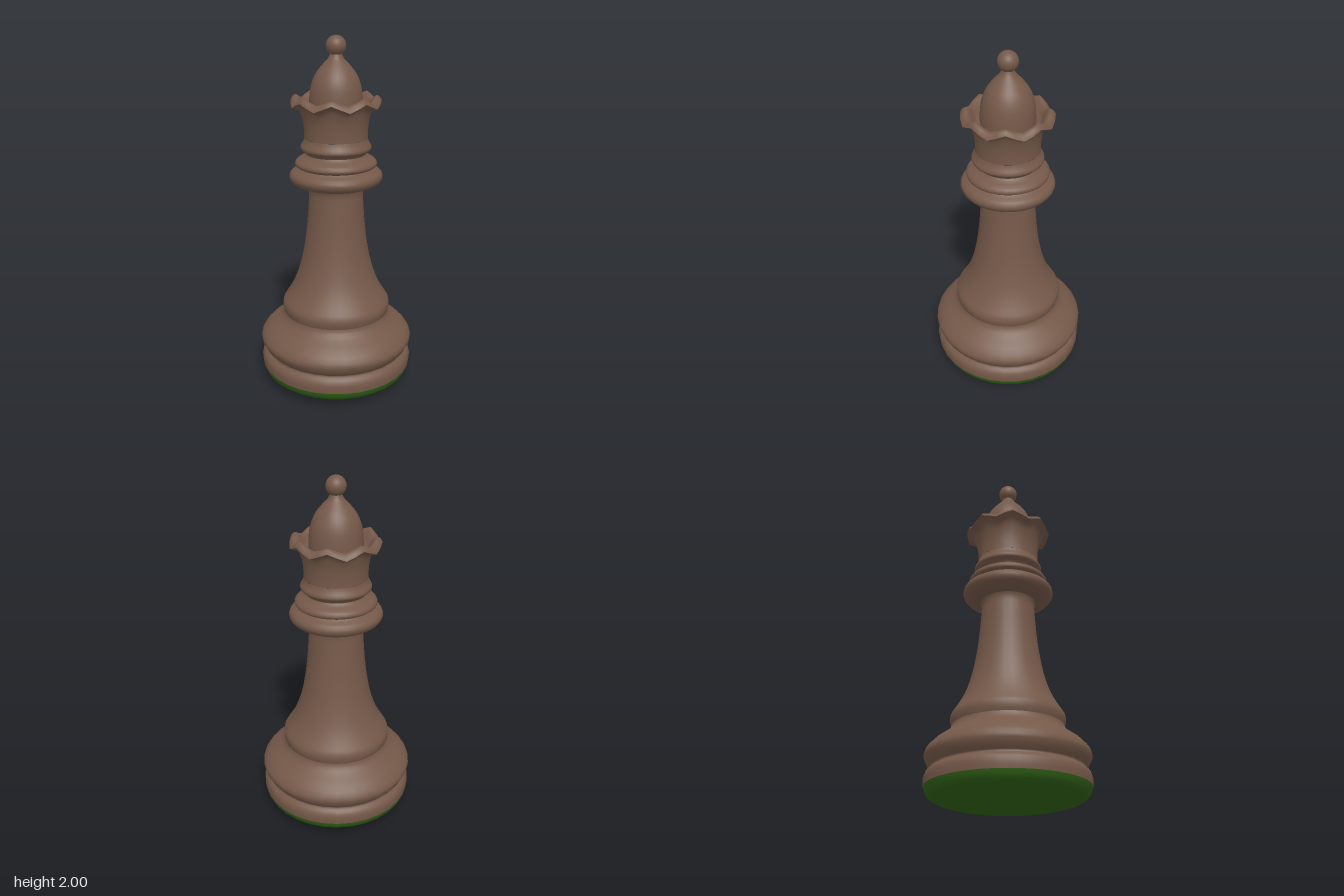
import * as THREE from 'three';
import { mergeVertices } from 'three/addons/utils/BufferGeometryUtils.js';

const SIDES = 32;
const WAVES = 8;
const wood = new THREE.MeshStandardMaterial({ color: 0x755949 });
const felt = new THREE.MeshStandardMaterial({ color: 0x2f5f16 });

// Turns a [radius, height] profile, listed from bottom to top, smoothed by a spline
function turned(name, profile, material = wood, detail = 2) {
  const pts = profile.map(([r, y]) => new THREE.Vector2(r, y));
  const smooth = new THREE.SplineCurve(pts).getPoints((pts.length - 1) * detail);
  smooth.forEach((p) => { p.x = Math.max(p.x, 0); });
  const mesh = new THREE.Mesh(new THREE.LatheGeometry(smooth, SIDES), material);
  mesh.name = name;
  return mesh;
}

// Lifts a turned part into scallops that grow towards the rim
function scallop(mesh) {
  const g = mesh.geometry;
  const p = g.attributes.position;
  for (let i = 0; i < p.count; i++) {
    const x = p.getX(i), z = p.getZ(i);
    const grow = THREE.MathUtils.smoothstep(Math.hypot(x, z), 0.165, 0.235);
    p.setY(i, p.getY(i) - 0.019 * grow * Math.cos(WAVES * Math.atan2(x, z)));
  }
  g.deleteAttribute('uv');
  g.deleteAttribute('normal');
  mesh.geometry = mergeVertices(g, 1e-5);
  mesh.geometry.computeVertexNormals();
  return mesh;
}

export function createModel() {
  const model = new THREE.Group();
  model.name = 'chessQueen';

  // Slightly domed felt pad
  model.add(turned('feltPad', [
    [0, 0], [0.15, 0.006], [0.3, 0.018], [0.38, 0.034], [0.425, 0.06], [0.44, 0.1],
  ], felt));

  // Base mouldings
  model.add(turned('base', [
    [0.44, 0.1], [0.442, 0.145], [0.428, 0.175], [0.408, 0.192], [0.422, 0.21],
    [0.443, 0.25], [0.438, 0.285], [0.4, 0.33], [0.345, 0.37], [0.315, 0.4], [0.306, 0.425],
  ]));

  // Foot ring and tapering stem
  model.add(turned('stem', [
    [0.306, 0.425], [0.312, 0.45], [0.31, 0.485], [0.285, 0.525], [0.243, 0.6], [0.208, 0.7],
    [0.186, 0.8], [0.171, 0.9], [0.161, 1.0], [0.154, 1.1], [0.152, 1.15], [0.16, 1.175],
  ]));

  // Stacked collars
  model.add(turned('lowerCollar', [
    [0.16, 1.175], [0.21, 1.187], [0.247, 1.205], [0.262, 1.235], [0.25, 1.262], [0.222, 1.278], [0.21, 1.288],
  ]));
  model.add(turned('middleCollar', [
    [0.21, 1.288], [0.226, 1.298], [0.228, 1.315], [0.212, 1.333], [0.18, 1.348], [0.167, 1.362],
  ]));
  model.add(turned('upperCollar', [
    [0.167, 1.362], [0.175, 1.374], [0.194, 1.388], [0.196, 1.405], [0.183, 1.428], [0.176, 1.45],
  ]));

  // Head flaring out to the scalloped crown
  model.add(scallop(turned('head', [
    [0.176, 1.45], [0.177, 1.5], [0.183, 1.55], [0.195, 1.595], [0.212, 1.625], [0.248, 1.642],
  ])));
  model.add(scallop(turned('crownRim', [
    [0.248, 1.642], [0.238, 1.658], [0.222, 1.669], [0.205, 1.664], [0.185, 1.64], [0.165, 1.618], [0.12, 1.61],
  ])));

  // Dome and finial ball
  model.add(turned('dome', [
    [0.147, 1.6], [0.147, 1.65], [0.14, 1.72], [0.125, 1.77], [0.103, 1.81],
    [0.07, 1.85], [0.042, 1.88], [0.03, 1.91],
  ]));
  const ball = new THREE.Mesh(new THREE.SphereGeometry(0.055, SIDES, 16), wood);
  ball.name = 'finialBall';
  ball.position.y = 1.945;
  model.add(ball);

  return model;
}
